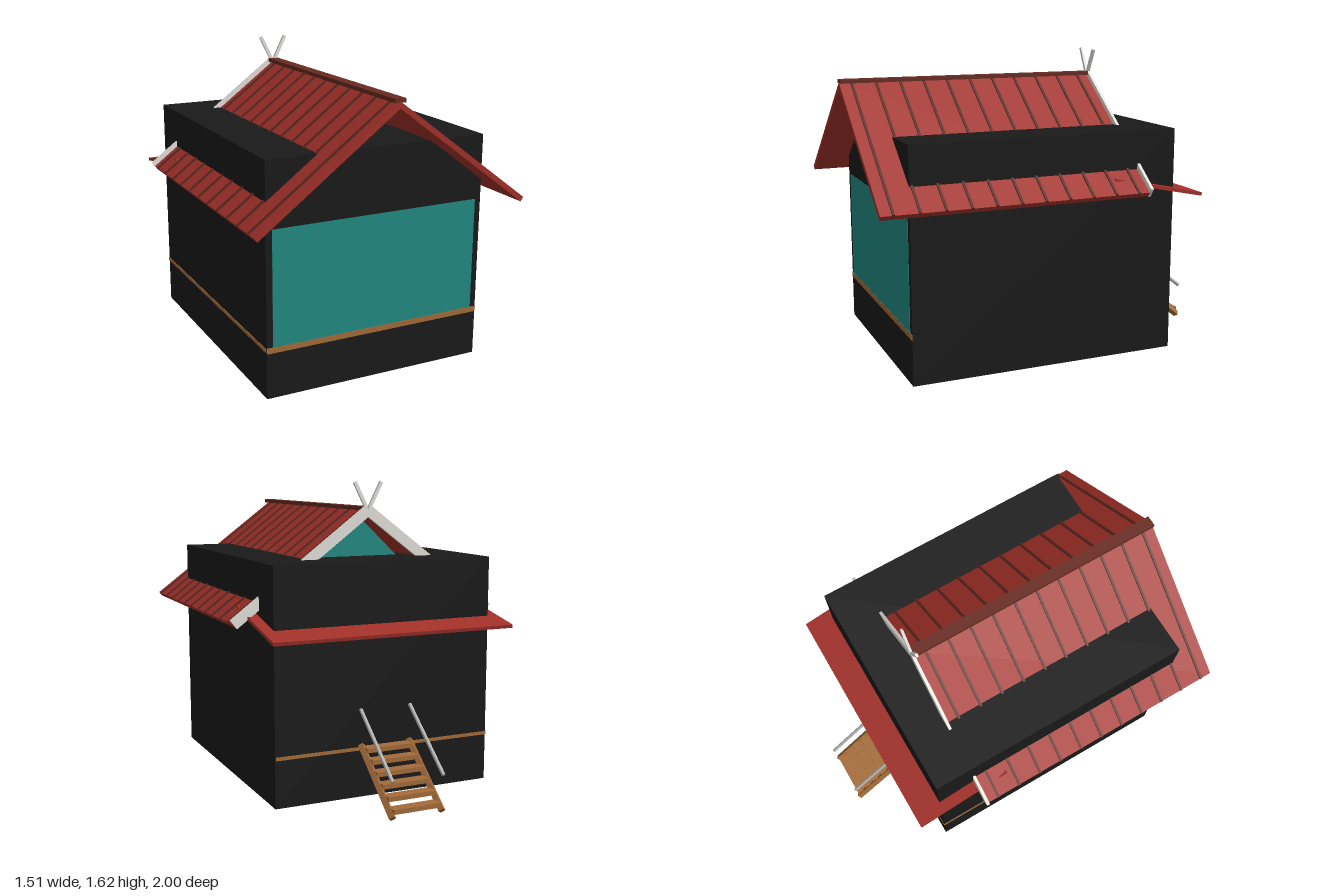
import * as THREE from 'three';

const paint = (name, color, side = THREE.FrontSide) => {
  const m = new THREE.MeshStandardMaterial({ color, side });
  m.name = name;
  return m;
};

export function createModel() {
  const house = new THREE.Group();
  house.name = 'raisedHouse';

  const charcoal = paint('charcoal', 0x1a1a1a);
  const red = paint('roofRed', 0xa4312a);
  const rust = paint('darkRibBrown', 0x5c281f);
  const ridgeBrown = paint('ridgeBrown', 0x692b21);
  const teal = paint('teal', 0x238c84, THREE.DoubleSide);
  const wood = paint('wood', 0xa56d3a);
  const pale = paint('paleTrim', 0xe8e5de);
  const steel = paint('steel', 0xb8b8b8);

  const add = (name, geometry, material, x = 0, y = 0, z = 0, parent = house) => {
    const mesh = new THREE.Mesh(geometry, material);
    mesh.name = name;
    mesh.position.set(x, y, z);
    parent.add(mesh);
    return mesh;
  };
  const box = (name, material, w, h, d, x, y, z, parent) =>
    add(name, new THREE.BoxGeometry(w, h, d), material, x, y, z, parent);

  // Main body, with the floor edge showing at the front, back and one side
  box('body', charcoal, 1.216, 1.21, 1.46, 0, 0.625, 0.09);
  box('floorEdge', wood, 1.216, 0.018, 1.455, -0.004, 0.275, 0.085);
  box('floorFront', wood, 1.216, 0.03, 0.005, 0, 0.275, 0.821);
  box('frontWall', teal, 1.15, 0.6, 0.004, 0, 0.59, 0.82);

  // Gable triangle under the back end of the roof
  const gable = new THREE.Shape([
    new THREE.Vector2(-0.58, 0.89),
    new THREE.Vector2(0.58, 0.89),
    new THREE.Vector2(0, 1.44),
  ]);
  add('backGable', new THREE.ShapeGeometry(gable), teal, 0, 0, -0.32);

  // Pitched roof: parts are placed by distance along and above each slope
  const pitch = Math.atan(0.745);
  const apex = 1.48;
  const slopeLength = 0.743 / Math.cos(pitch);
  const onSlope = (name, material, side, length, thick, offset, depth, z) => {
    const u = length / 2;
    const x = side * (u * Math.cos(pitch) + offset * Math.sin(pitch));
    const y = apex - u * Math.sin(pitch) + offset * Math.cos(pitch);
    box(name, material, length, thick, depth, x, y, z).rotation.z = -side * pitch;
  };
  for (const side of [-1, 1]) {
    onSlope('roofSlope', red, side, slopeLength, 0.027, -0.0135, 1.42, 0.29);
    for (let i = 0; i < 11; i++)
      onSlope('roofRib', rust, side, slopeLength, 0.008, 0.003, 0.013, 0.936 - i * 0.1295);
    onSlope('bargeboard', pale, side, slopeLength, 0.056, -0.004, 0.016, -0.427);

    // Crossed finial at the back of the ridge
    const finial = box('finial', pale, 0.018, 0.15, 0.014, side * 0.042, 1.553, -0.427);
    finial.rotation.z = -side * 0.47;
  }
  box('ridgeCap', ridgeBrown, 0.06, 0.02, 1.42, 0, 1.484, 0.29);

  // Low roof sheltering the back, its corners just piercing the main slopes
  const skirtTilt = Math.atan2(0.112, 0.53);
  box('backRoof', red, 1.335, 0.018, 0.537, 0, 0.931, -0.522).rotation.x = -skirtTilt;

  // Post footings set into the underside
  for (const z of [0.77, 0.26, -0.29, -0.6])
    for (const x of [-0.57, 0, 0.57])
      if (x !== 0 || z > -0.5) box('footing', pale, 0.065, 0.004, 0.065, x, 0.02, z);

  // Back stairs: diamond-section stringers, treads and round handrails
  const stairs = new THREE.Group();
  stairs.name = 'backStairs';
  house.add(stairs);
  const run = 0.345;
  const rise = 0.277;
  const pole = (name, material, radius, sides, length, slope, x, y, z) => {
    const geometry = new THREE.CylinderGeometry(radius, radius, length, sides).toNonIndexed();
    geometry.computeVertexNormals();
    add(name, geometry, material, x, y, z, stairs).rotation.x = Math.PI / 2 - slope;
  };
  for (const side of [-1, 1]) {
    pole('stringer', wood, 0.02, 4, Math.hypot(run, rise), Math.atan2(rise, run), side * 0.138, 0.155, -0.815);
    pole('handrail', steel, 0.01, 8, 0.45, Math.atan2(0.28, 0.35), side * 0.141, 0.34, -0.817);
  }
  for (let i = 0; i < 6; i++) {
    const t = (i + 0.5) / 6;
    box('tread', wood, 0.265, 0.024, 0.06, 0, 0.3 - t * rise, -0.643 - t * run, stairs);
  }
  return house;
}
